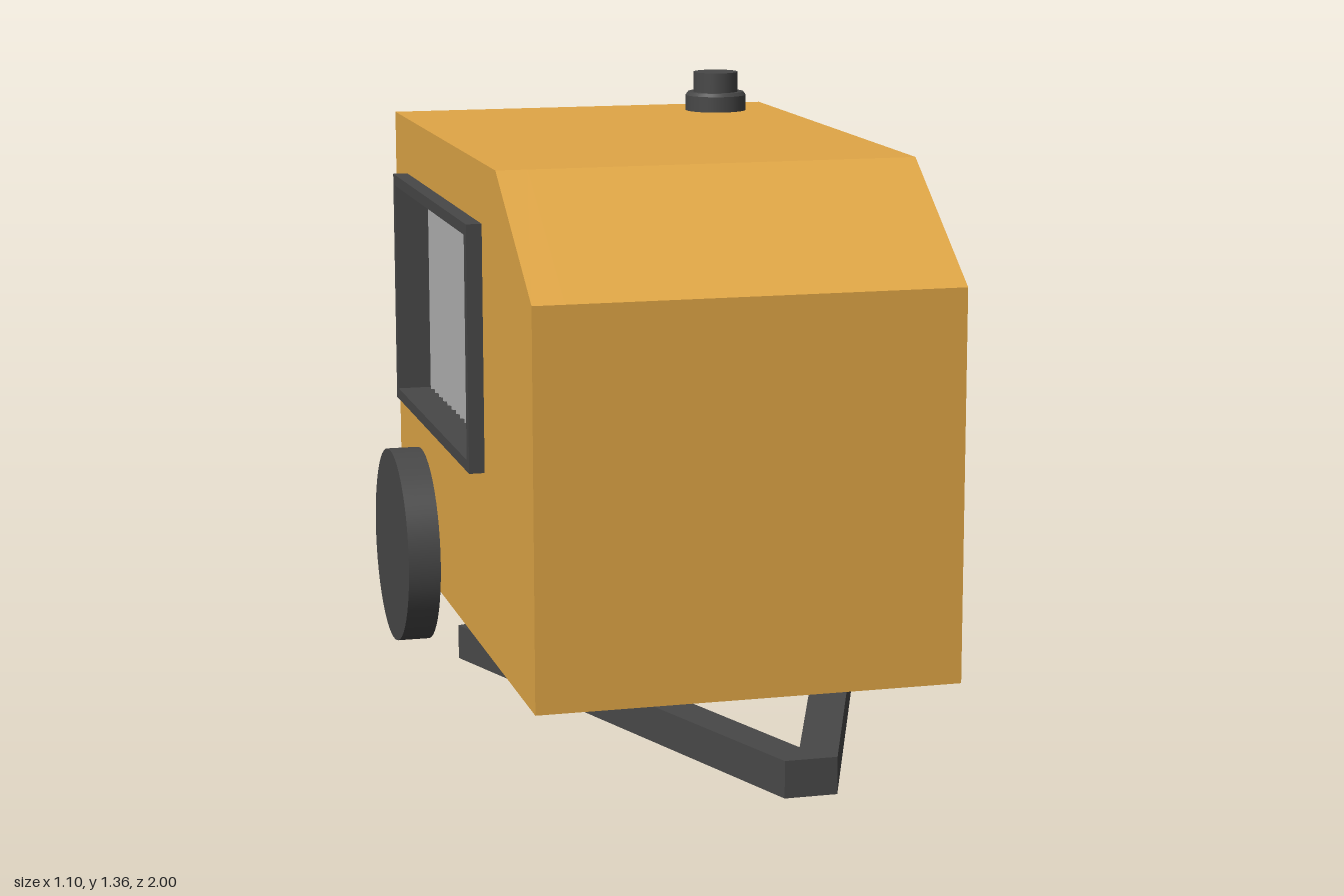
import * as THREE from 'three';

const material = (color) => new THREE.MeshStandardMaterial({ color, flatShading: true });
const yellow = material(0xe0a646);
const dark = material(0x484848);
const grey = material(0xa6a6a6);
const rubber = new THREE.MeshStandardMaterial({ color: 0x484848 });

const points = (list) => list.map(([a, b]) => new THREE.Vector2(a, b));

// Rectangle in the (z, y) plane around the vent centre, shrunk by an inset
const VENT = { z: -0.3875, y: 0.8475, w: 0.915, h: 0.555 };
function ventRect(inset) {
  const w = VENT.w / 2 - inset, h = VENT.h / 2 - inset;
  return points([[-w, -h], [w, -h], [w, h], [-w, h]].map(([z, y]) => [VENT.z + z, VENT.y + y]));
}

// Extrudes a (z, y) outline across the model from x0 to x1
function slab(name, outline, hole, x0, x1, mat) {
  const shape = new THREE.Shape(outline);
  if (hole) shape.holes.push(new THREE.Path(hole));
  const geo = new THREE.ExtrudeGeometry(shape, { depth: x1 - x0, bevelEnabled: false });
  geo.rotateY(-Math.PI / 2).translate(x1, 0, 0);
  const mesh = new THREE.Mesh(geo, mat);
  mesh.name = name;
  return mesh;
}

export function createModel() {
  const model = new THREE.Group();
  model.name = 'towableGenerator';

  // Housing: solid core plus two side walls with vent openings
  const profile = points([[-1, 0.16], [0.575, 0.16], [0.575, 1.025], [0.225, 1.26], [-1, 1.26]]);
  model.add(slab('housingCore', profile, null, -0.4, 0.4, yellow));

  for (const side of [1, -1]) {
    const label = side > 0 ? 'left' : 'right';
    const span = (a, b) => (side > 0 ? [a, b] : [-b, -a]);
    model.add(slab(label + 'HousingWall', profile, ventRect(0.012), ...span(0.4, 0.47), yellow));

    // Vent frame with a pleated grille set back inside it
    model.add(slab(label + 'VentFrame', ventRect(0), ventRect(0.026), ...span(0.4, 0.505), dark));
    const grille = new THREE.Group();
    grille.name = label + 'VentGrille';
    const count = 16, innerW = VENT.w - 0.052, innerH = VENT.h - 0.052;
    const pitch = innerW / count;
    const slatGeo = new THREE.BoxGeometry(pitch * Math.SQRT1_2, innerH, pitch * Math.SQRT1_2);
    for (let i = 0; i < count; i++) {
      const slat = new THREE.Mesh(slatGeo, grey);
      slat.name = 'slat';
      slat.rotation.y = Math.PI / 4;
      slat.position.set(side * 0.403, VENT.y, VENT.z - innerW / 2 + (i + 0.5) * pitch);
      grille.add(slat);
    }
    model.add(grille);

    // Wheel
    const wheel = new THREE.Mesh(new THREE.CylinderGeometry(0.235, 0.235, 0.077, 48), rubber);
    wheel.name = label + 'Wheel';
    wheel.rotation.z = Math.PI / 2;
    wheel.position.set(side * 0.5135, 0.235, -0.685);
    model.add(wheel);
  }

  // V-shaped drawbar with square-cut rear ends
  const half = [[0.055, 1], [0.486, -0.18], [0.41, -0.21]];
  const mirrored = half.map(([x, z]) => [-x, z]).reverse();
  const barGeo = new THREE.ExtrudeGeometry(
    new THREE.Shape(points([...half, [0, 0.92], ...mirrored])),
    { depth: 0.078, bevelEnabled: false });
  barGeo.rotateX(Math.PI / 2).translate(0, 0.158, 0);
  const drawbar = new THREE.Mesh(barGeo, dark);
  drawbar.name = 'drawbar';
  model.add(drawbar);

  // Stepped filler cap on the roof
  const cap = new THREE.Group();
  cap.name = 'fillerCap';
  for (const [name, bottom, top, y, h] of [
    ['capBase', 0.075, 0.075, 1.255, 0.043],
    ['capShoulder', 0.075, 0.069, 1.298, 0.008],
    ['capKnob', 0.055, 0.055, 1.3, 0.055],
  ]) {
    const ring = new THREE.Mesh(new THREE.CylinderGeometry(top, bottom, h, 32), rubber);
    ring.name = name;
    ring.position.y = y + h / 2;
    cap.add(ring);
  }
  cap.position.set(0.312, 0, -0.845);
  model.add(cap);

  return model;
}
